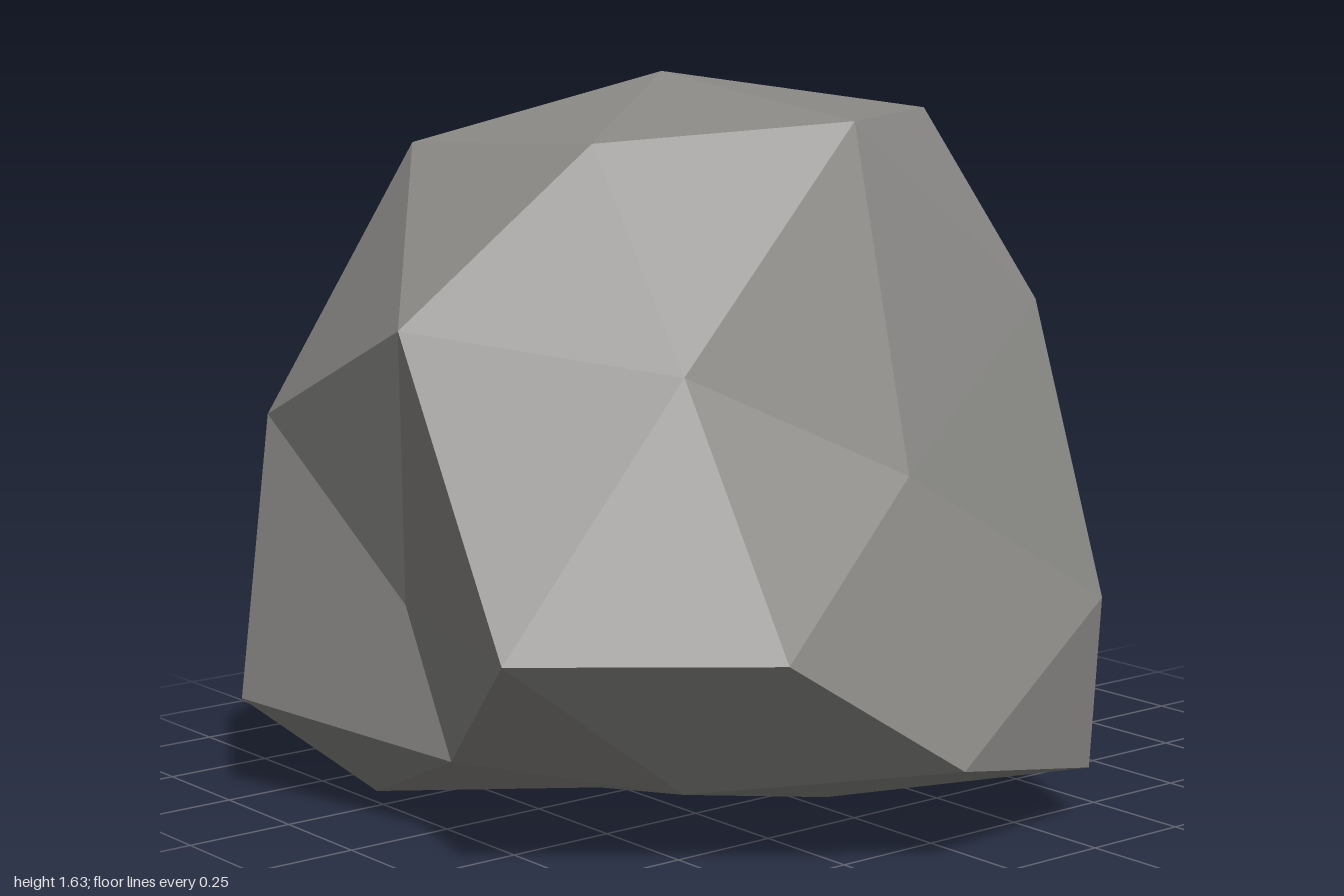
import * as THREE from 'three';

// Rings of rock corners from top to bottom; each ring runs around the y axis.
const CORNERS = [
  [[-0.03, 1.63, 0.12]],
  // crown
  [[0.25, 1.51, 0.53], [-0.3, 1.48, 0.61], [-0.6, 1.44, 0.12],
   [-0.35, 1.44, -0.35], [0.26, 1.54, -0.41], [0.62, 1.56, 0.12]],
  // shoulder
  [[0.15, 1.14, 0.96], [-0.56, 0.96, 0.41], [-0.72, 1.09, -0.36],
   [-0.2, 1.1, -0.67], [0.73, 1.16, -0.31], [0.61, 1.06, 0.57]],
  // above the waist
  [[-0.46, 0.88, 0.9], [-0.89, 0.84, 0.12], [0.33, 0.82, -0.56], [0.8, 0.83, 0.12]],
  // waist
  [[0.56, 0.51, 1.0], [-0.03, 0.51, 0.83], [-0.86, 0.51, 0.58], [-0.97, 0.51, -0.31],
   [-0.56, 0.51, -0.64], [-0.03, 0.51, -1.0], [0.87, 0.51, -0.39], [0.92, 0.51, 0.55]],
  // below the waist
  [[-0.5, 0.23, 0.96], [-0.98, 0.23, 0.12], [0.36, 0.24, -0.6], [0.98, 0.23, 0.12]],
  // foot
  [[0.12, 0.19, 0.82], [-0.56, 0.19, 0.46], [-0.75, 0.16, -0.39],
   [-0.22, 0.14, -0.81], [0.84, 0.12, -0.39], [0.58, 0.17, 0.55]],
  // base
  [[0.2, 0.09, 0.48], [-0.35, 0, 0.7], [-0.68, 0.03, 0.11],
   [-0.31, 0.06, -0.26], [0.25, 0.04, -0.41], [0.52, 0.07, 0.1]],
  [[-0.03, 0.05, 0.12]],
];

// Lower height limit of each ring on the unit icosphere.
const LIMITS = [0.95, 0.7, 0.4, 0.2, -0.1, -0.4, -0.6, -0.95, -2];

// Finds the rock corner that belongs to an icosphere vertex.
function cornerFor(x, y, z) {
  const level = LIMITS.findIndex((limit) => y > limit);
  const ring = CORNERS[level];
  const turn = ((Math.atan2(z, x) / (2 * Math.PI)) + 1) % 1;
  const steps = turn * ring.length;
  const onAxis = [1, 4, 7].includes(level); // rings with a corner at angle zero
  return ring[(onAxis ? Math.round(steps) : Math.floor(steps)) % ring.length];
}

export function createModel() {
  const model = new THREE.Group();
  model.name = 'rock';
  const stone = new THREE.MeshStandardMaterial({ color: 0x8a8986, flatShading: true });
  stone.name = 'grey stone';

  // An icosphere whose vertices are pulled out to the rock corners
  const geometry = new THREE.IcosahedronGeometry(1, 1);
  const position = geometry.attributes.position;
  for (let i = 0; i < position.count; i++) {
    position.setXYZ(i, ...cornerFor(position.getX(i), position.getY(i), position.getZ(i)));
  }
  geometry.computeVertexNormals();

  const boulder = new THREE.Mesh(geometry, stone);
  boulder.name = 'boulder';
  model.add(boulder);
  return model;
}
